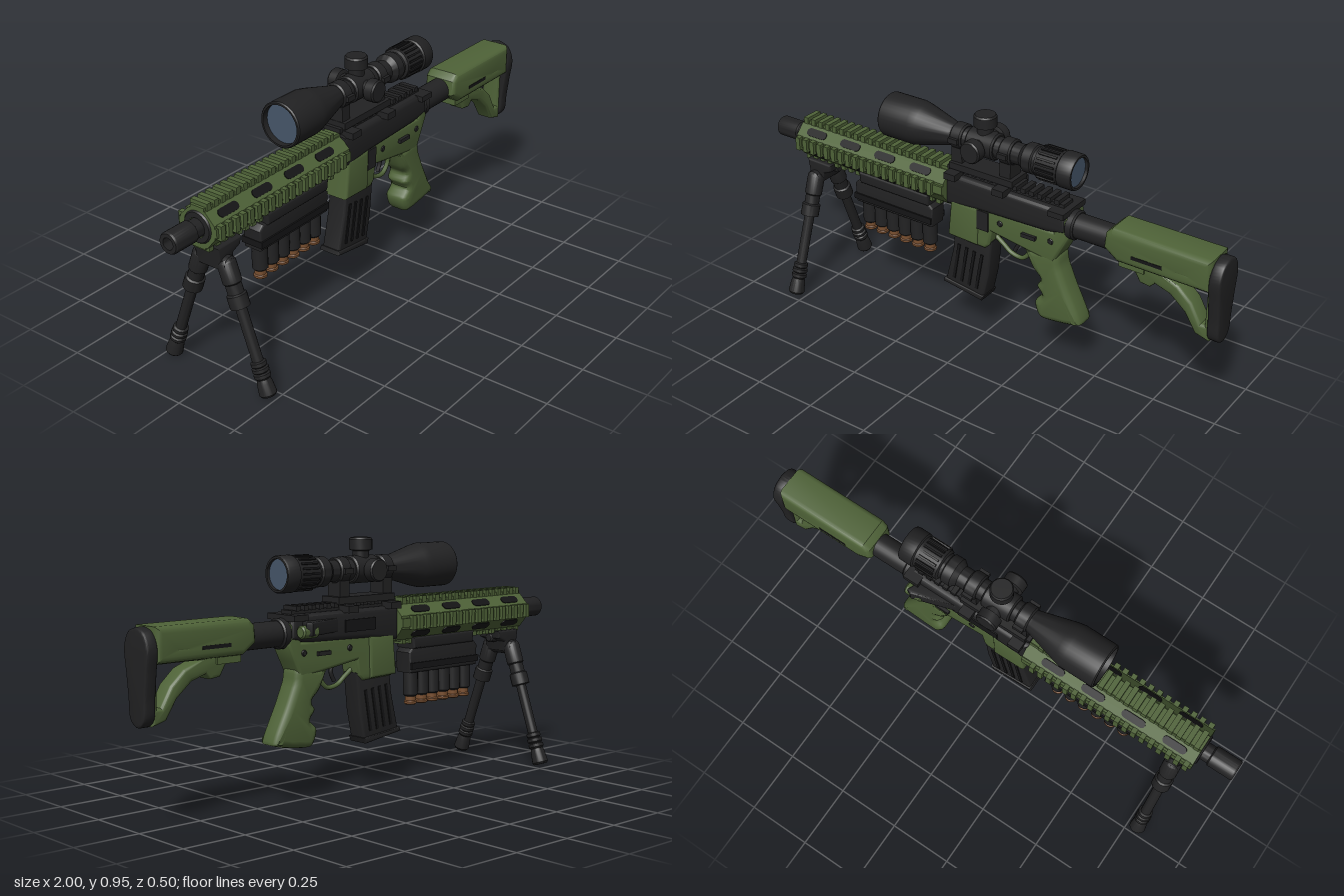
import * as THREE from 'three';
import { mergeGeometries, toCreasedNormals } from 'three/addons/utils/BufferGeometryUtils.js';

const mat = (name, color) => Object.assign(new THREE.MeshStandardMaterial({ color }), { name });

export function createModel() {
  const green = mat('olive green', 0x4f6338);
  const black = mat('matte black', 0x222223);
  const dark = mat('deep black', 0x151516);
  const brass = mat('brass', 0x7a5030);
  const glass = mat('lens glass', 0x46566a);
  const root = new THREE.Group();
  root.name = 'scopedRifle';

  const add = (name, geo, m, x = 0, y = 0, z = 0, parent = root) => {
    const mesh = new THREE.Mesh(geo, m);
    mesh.name = name;
    mesh.position.set(x, y, z);
    parent.add(mesh);
    return mesh;
  };
  // box given by its extents
  const box = (x0, x1, y0, y1, z0, z1) =>
    new THREE.BoxGeometry(x1 - x0, y1 - y0, z1 - z0).translate((x0 + x1) / 2, (y0 + y1) / 2, (z0 + z1) / 2);
  const vecs = (pts) => pts.map(([x, y]) => new THREE.Vector2(x, y));
  // bevelled slab from a side profile, centred on z = 0
  const slab = (pts, width, bevel = 0.01, holes = [], smooth = false) => {
    const shape = new THREE.Shape();
    if (smooth) shape.setFromPoints(new THREE.SplineCurve(vecs([...pts, pts[0]])).getPoints(60).slice(0, -1));
    else shape.setFromPoints(vecs(pts));
    holes.forEach((h) => shape.holes.push(new THREE.Path(vecs(h))));
    const geo = new THREE.ExtrudeGeometry(shape, {
      depth: width - 2 * bevel, bevelEnabled: true, bevelThickness: bevel, bevelSize: bevel,
      bevelOffset: -bevel, bevelSegments: 3,
    }).translate(0, 0, bevel - width / 2);
    return toCreasedNormals(geo, 0.6);
  };
  // turned part along y, or along x; points are [radius, position]
  const turnY = (pts, seg = 24) => toCreasedNormals(new THREE.LatheGeometry(vecs(pts), seg), 0.6);
  const turnX = (pts, seg = 28) => turnY(pts, seg).rotateZ(-Math.PI / 2);
  // closed rod with bevelled ends
  const rod = (r, a, b, c = 0.006) => [[0, a], [r - c, a], [r, a + c], [r, b - c], [r - c, b], [0, b]];

  // Barrel with open bore
  add('barrel', turnX([[0, -0.96], [0.022, -0.96], [0.022, -1], [0.036, -1], [0.04, -0.994], [0.04, -0.9],
    [0.034, -0.895], [0.034, -0.84]]), black, 0, 0.625);

  // Octagonal handguard
  const guard = [[0.035, 0.69], [0.075, 0.65], [0.075, 0.6], [0.038, 0.555], [-0.038, 0.555], [-0.075, 0.6], [-0.075, 0.65], [-0.035, 0.69]];
  add('handguard', new THREE.ExtrudeGeometry(new THREE.Shape(vecs(guard)), { depth: 0.72, bevelEnabled: false })
    .rotateY(Math.PI / 2), green, -0.86);
  add('handguardFrontRing', turnX([[0.036, -0.866], [0.055, -0.866], [0.06, -0.86]]), black, 0, 0.625);

  // Toothed rails on four sides of the handguard
  const teeth = [];
  for (let x = -0.85; x < -0.17; x += 0.036) {
    teeth.push(box(x, x + 0.02, 0.69, 0.716, -0.037, 0.037));
    teeth.push(box(x, x + 0.02, 0.537, 0.56, -0.037, 0.037));
    for (const s of [-1, 1]) teeth.push(box(x, x + 0.02, 0.597, 0.651, s * 0.084 - 0.011, s * 0.084 + 0.011));
  }
  teeth.push(box(-0.86, -0.14, 0.685, 0.702, -0.03, 0.03), box(-0.86, -0.14, 0.548, 0.558, -0.03, 0.03));
  teeth.push(box(-0.86, -0.14, 0.607, 0.641, -0.083, 0.083));
  add('handguardRails', mergeGeometries(teeth), green);

  // Vent slots on the four sloping faces
  const slot = new THREE.Shape();
  slot.absarc(0.032, 0, 0.016, -Math.PI / 2, Math.PI / 2);
  slot.absarc(-0.032, 0, 0.016, Math.PI / 2, Math.PI * 1.5);
  const slotGeo = new THREE.ExtrudeGeometry(slot, { depth: 0.003, bevelEnabled: false });
  for (let i = 0; i < 4; i++) for (const s of [-1, 1]) for (const up of [-1, 1]) {
    const v = add('ventSlot', slotGeo, dark, -0.77 + i * 0.17, up > 0 ? 0.67 : 0.5775, s * (up > 0 ? 0.055 : 0.0565));
    v.lookAt(v.position.clone().add(new THREE.Vector3(0, up, s * (up > 0 ? 1 : 1.2))));
  }

  // Upper receiver, top rail and controls
  add('upperReceiver', slab([[-0.145, 0.56], [-0.145, 0.69], [0.36, 0.69], [0.38, 0.67], [0.38, 0.6], [0.3, 0.585], [0.0, 0.575]], 0.115, 0.02), black);
  const rail = [box(-0.145, 0.36, 0.685, 0.703, -0.03, 0.03)];
  for (let x = -0.145; x < 0.34; x += 0.036) rail.push(box(x, x + 0.02, 0.7, 0.718, -0.037, 0.037));
  add('topRail', mergeGeometries(rail), black);
  add('ejectionPort', box(-0.02, 0.13, 0.61, 0.655, -0.062, -0.057), dark);
  add('caseDeflector', slab([[0.14, 0.05], [0.33, 0.05], [0.35, 0.1], [0.33, 0.11]], 0.05, 0.006)
    .rotateX(-Math.PI / 2), black, 0, 0.64);
  add('forwardAssist', turnX(rod(0.024, 0.29, 0.365)), green, 0, 0.63, -0.082);
  add('chargingHandle', box(0.32, 0.385, 0.668, 0.69, -0.075, 0.075), black);
  add('boltCatch', box(0.0, 0.05, 0.5, 0.58, 0.045, 0.056), black);
  for (const s of [-1, 1]) add('safetyLever', box(0.2, 0.26, 0.535, 0.55, s * 0.056 - 0.006, s * 0.056 + 0.006), black);

  // Lower receiver with magazine well
  add('lowerReceiver', slab([[-0.115, 0.59], [-0.13, 0.44], [-0.115, 0.425], [0.03, 0.42], [0.05, 0.44], [0.06, 0.5],
    [0.19, 0.48], [0.33, 0.46], [0.36, 0.52], [0.39, 0.58], [0.385, 0.66], [0.355, 0.66], [0.33, 0.59]], 0.1, 0.012), green);
  add('magazineWell', slab([[-0.12, 0.585], [-0.135, 0.43], [0.0, 0.425], [0.005, 0.585]], 0.115, 0.012), green);
  for (const [x, y] of [[-0.1, 0.56], [0.1, 0.55], [0.32, 0.55]])
    add('receiverPin', turnY(rod(0.012, -0.054, 0.054, 0.003), 14).rotateX(Math.PI / 2), black, x, y);

  // Trigger and guard
  const path = (pts) => new THREE.CatmullRomCurve3(pts.map(([x, y]) => new THREE.Vector3(x, y, 0)));
  add('triggerGuard', new THREE.TubeGeometry(path([[0.05, 0.46], [0.085, 0.435], [0.12, 0.41], [0.17, 0.405], [0.2, 0.44], [0.2, 0.48]]), 24, 0.009, 8), green);
  add('trigger', new THREE.TubeGeometry(path([[0.14, 0.5], [0.15, 0.46], [0.135, 0.425]]), 12, 0.008, 8), black);

  // Curved magazine with ribs and base plate
  add('magazine', slab([[-0.115, 0.45], [-0.125, 0.36], [-0.16, 0.215], [0.015, 0.185], [0.04, 0.3], [0.055, 0.45]], 0.08, 0.01), black);
  add('magazineBase', slab([[-0.163, 0.222], [-0.168, 0.205], [0.012, 0.178], [0.022, 0.2]], 0.092, 0.006), black);
  for (const s of [-1, 1]) for (let i = 0; i < 4; i++) {
    const rib = add('magazineRib', new THREE.BoxGeometry(0.012, 0.16, 0.008), dark, -0.105 + i * 0.035, 0.315 - i * 0.004, s * 0.04);
    rib.rotation.z = -0.17;
  }

  // Pistol grip with finger swells
  add('pistolGrip', slab([[0.2, 0.48], [0.33, 0.5], [0.355, 0.44], [0.39, 0.36], [0.445, 0.245], [0.43, 0.22], [0.3, 0.2],
    [0.265, 0.215], [0.25, 0.265], [0.28, 0.3], [0.258, 0.335], [0.272, 0.37], [0.235, 0.41]], 0.1, 0.026, [], true), green);

  // Stock tube and stock
  add('stockTube', turnX(rod(0.047, 0.36, 0.62)), black, 0, 0.622);
  add('stockTubeNut', turnX(rod(0.056, 0.375, 0.41)), black, 0, 0.622);
  add('stockBody', slab([[0.545, 0.61], [0.55, 0.67], [0.575, 0.695], [0.96, 0.695], [0.96, 0.57], [0.6, 0.57]], 0.14, 0.022,
    [[[0.81, 0.595], [0.81, 0.63], [0.9, 0.63], [0.9, 0.595]]]), green);
  add('stockStrut', slab([[0.58, 0.6], [0.62, 0.55], [0.65, 0.55], [0.68, 0.5], [0.72, 0.495], [0.74, 0.515], [0.8, 0.495], [0.86, 0.445],
    [0.905, 0.375], [0.96, 0.36], [0.96, 0.59], [0.59, 0.605]].slice(0, 11), 0.075, 0.012,
    [[[0.76, 0.565], [0.94, 0.565], [0.94, 0.42], [0.925, 0.42], [0.885, 0.49], [0.83, 0.54]]]), green);
  add('stockLever', box(0.6, 0.7, 0.545, 0.575, -0.045, 0.045), green);
  add('stockSlot', box(0.66, 0.78, 0.605, 0.618, -0.0715, 0.0715), dark);
  const pad = [[0, 0.693], [0.045, 0.675], [0.069, 0.62], [0.06, 0.54], [0.05, 0.46], [0.042, 0.385], [0, 0.357]];
  add('buttPad', slab([...pad, ...pad.slice(1, -1).reverse().map(([z, y]) => [-z, y])], 0.045, 0.008, [], true)
    .rotateY(Math.PI / 2), black, 0.9775);

  // Telescopic sight
  const scope = new THREE.Group();
  scope.name = 'scope';
  scope.position.y = 0.832;
  root.add(scope);
  add('scopeTube', turnX([[0, -0.41], [0.075, -0.41], [0.075, -0.435], [0.082, -0.435], [0.086, -0.43], [0.086, -0.3], [0.08, -0.27],
    [0.045, -0.14], [0.04, -0.12], [0.04, 0.17], [0.056, 0.19], [0.056, 0.225], [0.05, 0.23], [0.05, 0.24], [0.06, 0.245],
    [0.062, 0.34], [0.068, 0.345], [0.068, 0.395], [0.064, 0.402], [0.056, 0.402], [0.056, 0.388], [0, 0.388]], 36), black, 0, 0, 0, scope);
  add('frontLens', new THREE.CircleGeometry(0.074, 32).rotateY(-Math.PI / 2), glass, -0.413, 0, 0, scope);
  add('rearLens', new THREE.CircleGeometry(0.055, 32).rotateY(Math.PI / 2), glass, 0.391, 0, 0, scope);
  add('turretHub', turnX(rod(0.052, -0.06, 0.06)), black, 0, 0, 0, scope);
  const knob = [[0.03, 0.03], [0.03, 0.06], [0.043, 0.064], [0.043, 0.098], [0.038, 0.104], [0, 0.104]];
  add('topTurret', turnY(knob.map(([r, y]) => [r, y * 1.13])), black, 0, 0, 0, scope);
  for (const s of [-1, 1]) add('sideTurret', turnY(knob).rotateX(s * Math.PI / 2), black, 0, 0, 0, scope);
  const grips = [];
  for (let i = 0; i < 20; i++) grips.push(box(0.255, 0.33, 0.06, 0.066, -0.004, 0.004).rotateX(i * Math.PI / 10));
  add('zoomRingGrips', mergeGeometries(grips), dark, 0, 0, 0, scope);

  // Scope rings and mount
  for (const x of [-0.105, 0.11]) {
    add('scopeRing', turnX(rod(0.05, -0.025, 0.025)), black, x, 0.832);
    add('ringPost', box(-0.023, 0.023, 0.73, 0.81, -0.034, 0.034), black, x);
    add('ringClamp', box(-0.025, 0.025, 0.682, 0.708, -0.084, 0.084), black, x);
    for (const s of [-1, 1]) add('ringLug', box(-0.02, 0.02, 0.822, 0.842, s * 0.054 - 0.007, s * 0.054 + 0.007), black, x);
  }
  add('mountBase', box(-0.13, 0.15, 0.712, 0.738, -0.048, 0.048), black);

  // Cartridge carrier under the handguard
  add('carrierClamp', slab([[-0.57, 0.56], [-0.23, 0.56], [-0.235, 0.515], [-0.565, 0.515]], 0.1, 0.008), black);
  add('carrierPlate', slab([[-0.6, 0.5], [-0.58, 0.52], [-0.24, 0.52], [-0.22, 0.5], [-0.225, 0.42], [-0.595, 0.42]], 0.08, 0.008), black);
  add('carrierBand', box(-0.6, -0.225, 0.435, 0.46, -0.046, 0.046), dark);
  for (let i = 0; i < 6; i++) {
    const x = -0.56 + i * 0.0595;
    add('cartridgeSleeve', turnY(rod(0.029, 0.325, 0.45), 16), black, x);
    add('cartridgeBase', turnY([[0, 0.292], [0.02, 0.292], [0.025, 0.296], [0.025, 0.304], [0.021, 0.308], [0.021, 0.33]], 16), brass, x);
  }

  // Folding bipod
  add('bipodClamp', slab([[-0.83, 0.545], [-0.71, 0.545], [-0.715, 0.515], [-0.75, 0.5], [-0.76, 0.46], [-0.82, 0.46], [-0.825, 0.51]], 0.11, 0.008), black);
  add('bipodHinge', turnY(rod(0.03, -0.078, 0.078)).rotateX(Math.PI / 2), black, -0.79, 0.475);
  add('bipodLockKnob', turnX(rod(0.02, -0.76, -0.71)), black, 0, 0.515);
  const leg = turnY([[0, 0], [0.026, 0], [0.032, 0.008], [0.028, 0.05], [0.024, 0.065], [0.03, 0.072], [0.03, 0.084], [0.023, 0.088],
    [0.03, 0.094], [0.03, 0.106], [0.023, 0.11], [0.028, 0.115], [0.028, 0.128], [0.02, 0.132], [0.02, 0.33], [0.036, 0.334],
    [0.036, 0.38], [0.029, 0.385], [0.029, 0.42], [0.034, 0.425], [0.034, 0.5], [0.028, 0.51], [0, 0.51]], 20);
  for (const s of [-1, 1]) add(s > 0 ? 'bipodLegFront' : 'bipodLegBack', leg, black, -0.79, 0.011, s * 0.222).rotation.x = -s * 0.345;

  return root;
}
